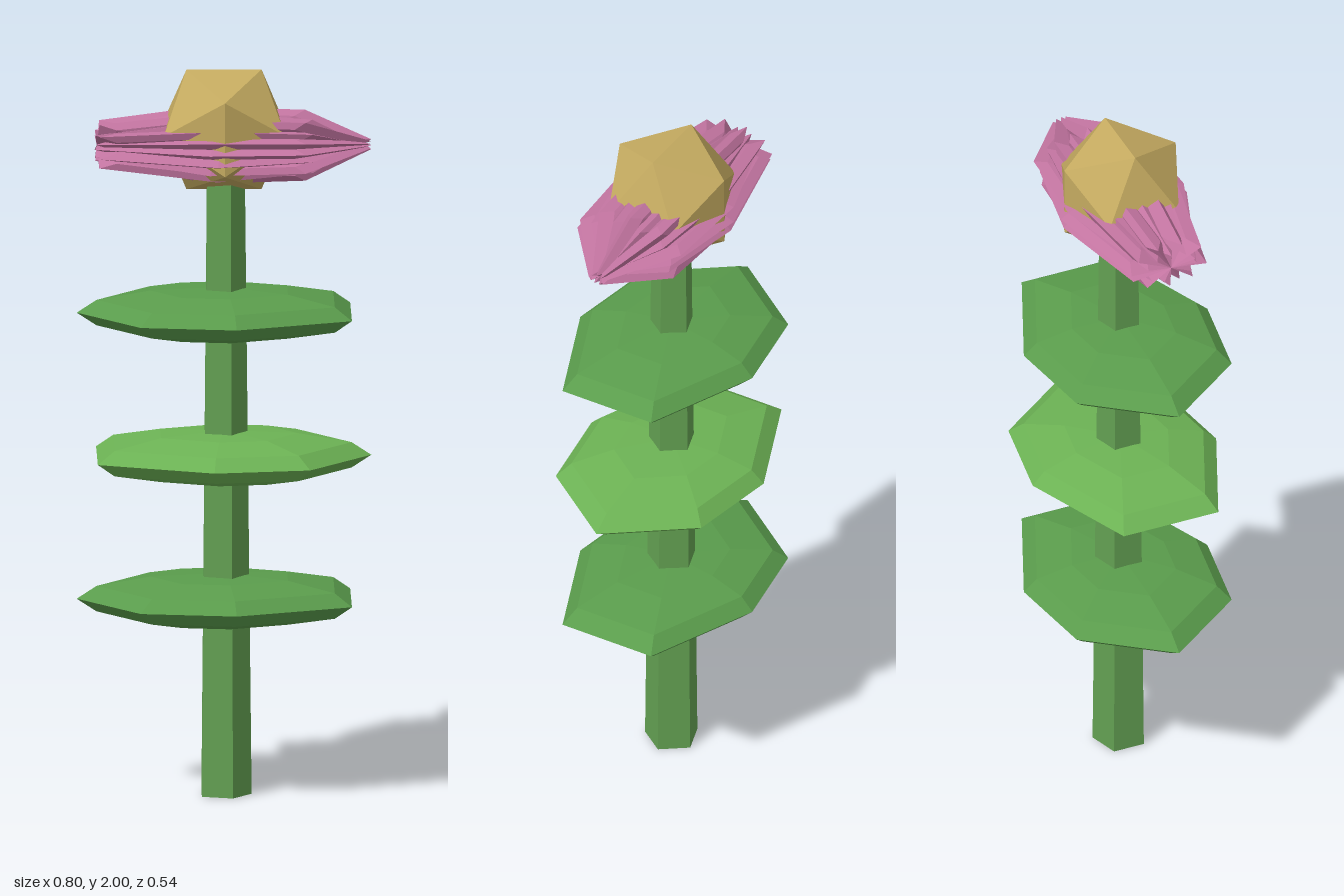
import * as THREE from 'three';

const paint = (color) => new THREE.MeshStandardMaterial({ color, flatShading: true });

// Half outline of a leaf seen from above: tip first, then round to the blunt end
const HALF = [[-0.4, 0], [-0.23, 0.23], [0.03, 0.272], [0.345, 0.14]];
const OUTLINE = [...HALF, ...HALF.slice(1).reverse().map(([x, z]) => [x, -z]), HALF[0]];

// Seven-sided lens: every sphere ring follows the outline
function lensGeometry(height, width = 1) {
  const geo = new THREE.SphereGeometry(1, 7, 6);
  const pos = geo.attributes.position;
  for (let i = 0; i < pos.count; i++) {
    const y = pos.getY(i);
    const r = Math.sqrt(Math.max(0, 1 - y * y));
    const [x, z] = OUTLINE[i % 8];
    pos.setXYZ(i, x * r, y * height, z * r * width);
  }
  geo.computeVertexNormals();
  return geo;
}

export function createModel() {
  const model = new THREE.Group();
  model.name = 'flower';
  const add = (parent, name, geo, mat, y = 0) => {
    const mesh = new THREE.Mesh(geo, mat);
    mesh.name = name;
    mesh.position.y = y;
    parent.add(mesh);
    return mesh;
  };

  // Five-sided tapering stem with a corner facing +x
  const stem = add(model, 'stem', new THREE.CylinderGeometry(0.056, 0.075, 1.78, 5), paint(0x63a052), 0.89);
  stem.rotation.y = Math.PI / 2;

  // Three leaves, the middle one turned round
  const leafGeo = lensGeometry(0.07);
  [0.54, 0.935, 1.33].forEach((y, i) => {
    const leaf = add(model, 'leaf', leafGeo, paint(i === 1 ? 0x6cb254 : 0x5a9c4c), y);
    leaf.rotation.y = i === 1 ? Math.PI : 0;
  });

  // Spiky blossom: thin petals fanned about the long axis, then flattened
  const blossom = new THREE.Group();
  blossom.name = 'blossom';
  blossom.position.y = 1.793;
  blossom.scale.y = 0.57;
  model.add(blossom);
  const petalGeo = lensGeometry(0.045, 0.67);
  const petalMat = paint(0xc274a0);
  const count = 10;
  for (let i = 0; i < count; i++) {
    const petal = add(blossom, 'petal', petalGeo, petalMat);
    petal.rotation.set((i * Math.PI) / count, Math.PI + (i % 2 ? 0.06 : -0.06), 0);
  }

  // Faceted flower centre
  add(model, 'flowerCentre', new THREE.IcosahedronGeometry(0.194, 0), paint(0xc4aa60), 1.835);

  return model;
}
